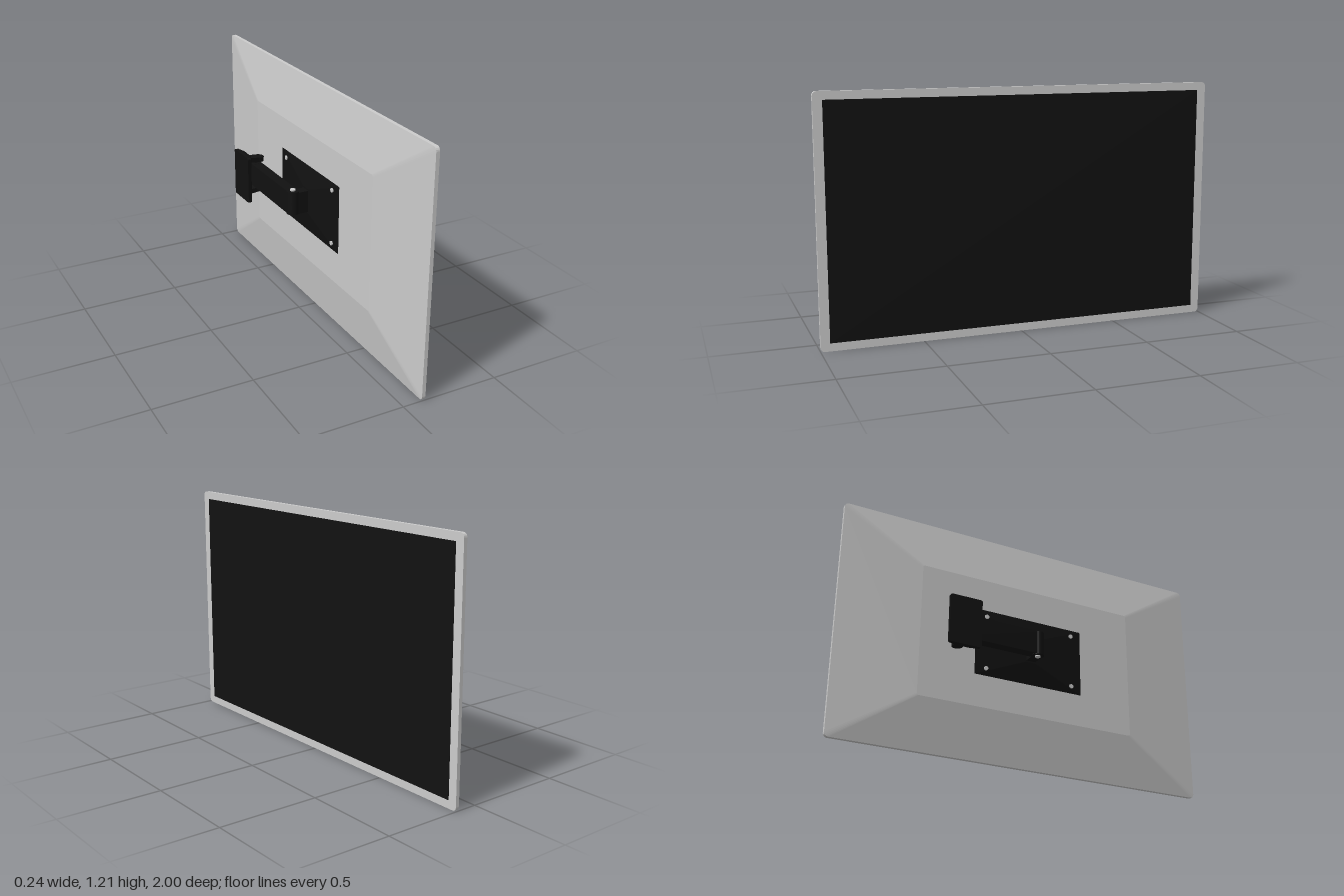
import * as THREE from 'three';

const MID = 0.607; // height of the screen centre and of the mount
const grey = new THREE.MeshStandardMaterial({ color: 0xcccccc, flatShading: true });
const black = new THREE.MeshStandardMaterial({ color: 0x111111, flatShading: true });
const blackSmooth = new THREE.MeshStandardMaterial({ color: 0x111111 });
const greySmooth = new THREE.MeshStandardMaterial({ color: 0xcccccc });

// Solid through rounded rectangles [x, halfHeight, halfDepth, cornerRadius], x ascending
function loft(sections) {
  const steps = 4, n = 4 * (steps + 1), pos = [], idx = [];
  for (const [x, hy, hz, r] of sections) {
    for (let c = 0; c < 4; c++) {
      const sy = c === 0 || c === 3 ? 1 : -1, sz = c < 2 ? 1 : -1;
      for (let k = 0; k <= steps; k++) {
        const a = (c + k / steps) * Math.PI / 2;
        pos.push(x, sy * (hy - r) + r * Math.cos(a), sz * (hz - r) + r * Math.sin(a));
      }
    }
  }
  const last = sections.length - 1;
  for (let s = 0; s < last; s++) {
    for (let i = 0; i < n; i++) {
      const a = s * n + i, b = s * n + (i + 1) % n;
      idx.push(a, b, b + n, a, b + n, a + n);
    }
  }
  for (let i = 1; i < n - 1; i++) {
    idx.push(0, i + 1, i, last * n, last * n + i, last * n + i + 1);
  }
  const g = new THREE.BufferGeometry();
  g.setAttribute('position', new THREE.Float32BufferAttribute(pos, 3));
  g.setIndex(idx);
  g.computeVertexNormals();
  return g;
}

function add(parent, name, geometry, material, x, y, z) {
  const mesh = new THREE.Mesh(geometry, material);
  mesh.name = name;
  mesh.position.set(x, y, z);
  parent.add(mesh);
  return mesh;
}

const box = (w, h, d) => new THREE.BoxGeometry(w, h, d);
const cyl = (r, h) => new THREE.CylinderGeometry(r, r, h, 24);

export function createModel() {
  const model = new THREE.Group();
  model.name = 'wallMountedScreen';

  // Display: rim, tapered back, dark panel
  add(model, 'screenHousing', loft([
    [0.058, 0.345, 0.59, 0.01],
    [0.098, MID, 1, 0.02],
    [0.1165, MID, 1, 0.02],
  ]), grey, 0, MID, 0);
  add(model, 'screenPanel', box(0.004, 1.135, 1.91), black, 0.1155, MID, 0);

  // Sloped plate on the back with a screw near each corner
  add(model, 'mountPlate', loft([
    [0.038, 0.065, 0.03, 0.003],
    [0.0585, 0.18, 0.305, 0.003],
  ]), black, 0, MID, 0);
  for (const sy of [-1, 1]) {
    for (const sz of [-1, 1]) {
      const screw = add(model, 'plateScrew', cyl(0.011, 0.012), greySmooth, 0.054, MID + sy * 0.14, sz * 0.24);
      screw.rotation.z = Math.PI / 2;
    }
  }

  // Neck and hinge behind the plate
  add(model, 'neck', box(0.075, 0.115, 0.05), black, 0.003, MID, 0);
  add(model, 'screenHinge', cyl(0.032, 0.122), blackSmooth, -0.035, 0.611, 0);
  add(model, 'screenHingePin', cyl(0.014, 0.136), greySmooth, -0.035, 0.611, 0);

  // Swing arm towards the wall hinge
  add(model, 'swingArm', box(0.054, 0.12, 0.43), black, -0.036, 0.611, -0.215);
  add(model, 'wallHinge', cyl(0.03, 0.122), blackSmooth, -0.035, 0.611, -0.43);
  add(model, 'wallHingePin', cyl(0.012, 0.15), blackSmooth, -0.035, 0.611, -0.43);

  // Wall bracket: bevelled plate and two ears holding the hinge
  const bracket = new THREE.Group();
  bracket.name = 'wallBracket';
  bracket.position.set(0, 0.609, -0.428);
  model.add(bracket);
  add(bracket, 'wallPlate', loft([
    [-0.118, 0.125, 0.083, 0.008],
    [-0.1, 0.125, 0.083, 0.008],
    [-0.084, 0.122, 0.043, 0.008],
    [-0.079, 0.116, 0.04, 0.008],
  ]), black, 0, 0, 0);
  for (const s of [-1, 1]) {
    const ear = new THREE.Group();
    ear.name = 'bracketEar';
    ear.position.set(-0.017, s * 0.083, 0);
    ear.rotation.z = -s * 0.09;
    bracket.add(ear);
    add(ear, 'earBar', box(0.075, 0.025, 0.05), black, -0.0375, 0, 0);
    add(ear, 'earEnd', cyl(0.026, 0.025), blackSmooth, 0, 0, 0);
  }
  return model;
}
